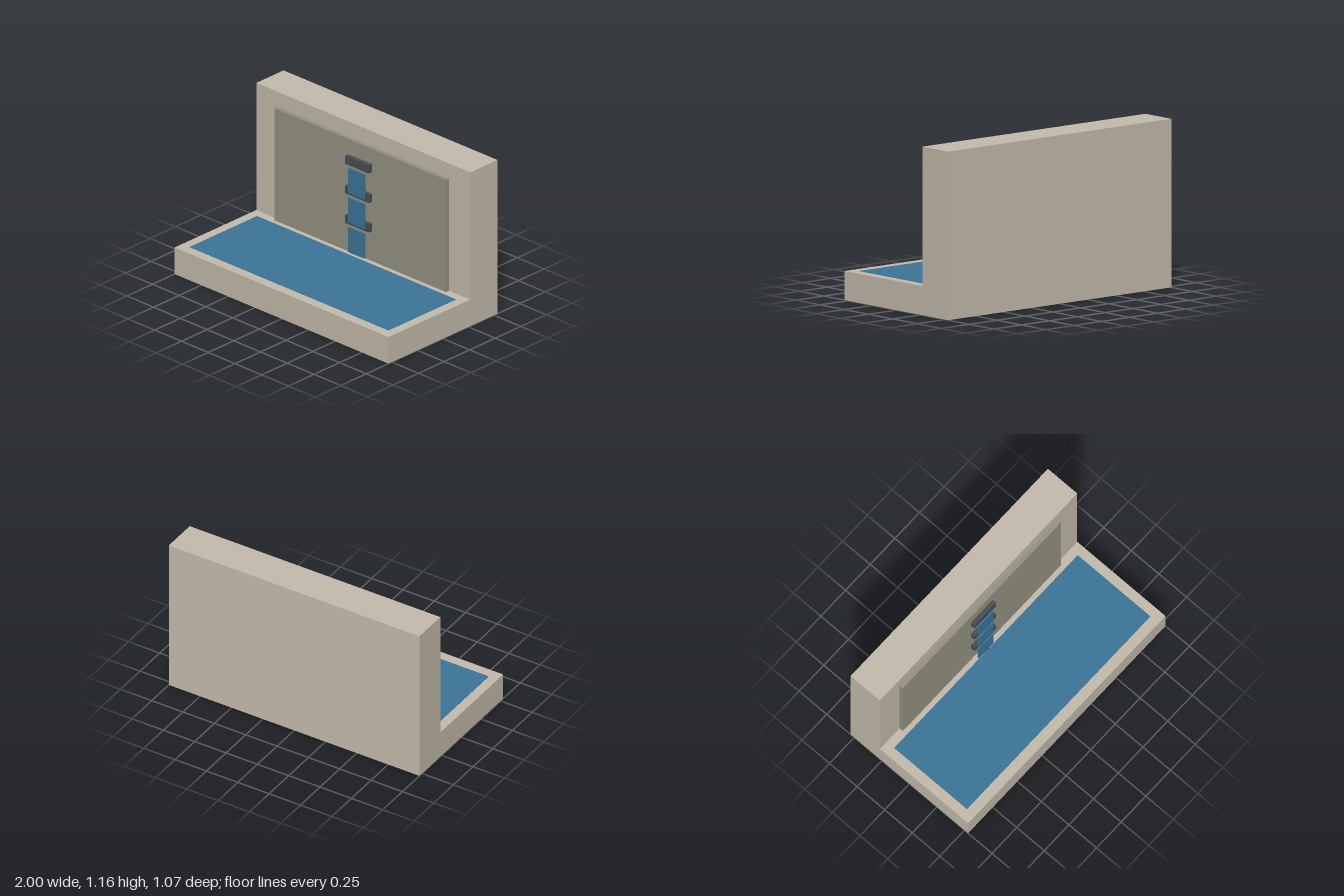
import * as THREE from 'three';

const material = (name, color) => {
  const m = new THREE.MeshStandardMaterial({ color });
  m.name = name;
  return m;
};

export function createModel() {
  const stone = material('pale stone', 0xc4bcac);
  const slate = material('grey stone', 0x969282);
  const iron = material('dark ledge', 0x4a4d56);
  const water = material('water blue', 0x3d7599);

  const model = new THREE.Group();
  model.name = 'wallFountain';

  // Box given by its lower and upper bounds on each axis
  const box = (name, mat, [x0, x1], [y0, y1], [z0, z1]) => {
    const mesh = new THREE.Mesh(new THREE.BoxGeometry(x1 - x0, y1 - y0, z1 - z0), mat);
    mesh.position.set((x0 + x1) / 2, (y0 + y1) / 2, (z0 + z1) / 2);
    mesh.name = name;
    model.add(mesh);
  };

  // Base slab, back wall and raised panel
  box('base', stone, [-1, 1], [0, 0.2], [-0.533, 0.533]);
  box('backWall', stone, [-1, 1], [0.2, 1.156], [-0.533, -0.267]);
  box('wallPanel', slate, [-0.8, 0.8], [0.2, 1.044], [-0.267, -0.237]);

  // Thin sheet of water on the base
  box('pool', water, [-0.93, 0.93], [0.199, 0.202], [-0.2, 0.46]);

  // Three ledges, each with a sheet of water falling below it
  for (let i = 0; i < 3; i++) {
    const y = 0.425 + i * 0.222;
    box(`ledge${i + 1}`, iron, [-0.11, 0.11], [y, y + 0.06], [-0.237, -0.205]);
    box(`waterfall${i + 1}`, water, [-0.074, 0.074], [y - 0.205, y - 0.018], [-0.209, -0.197]);
  }

  return model;
}
